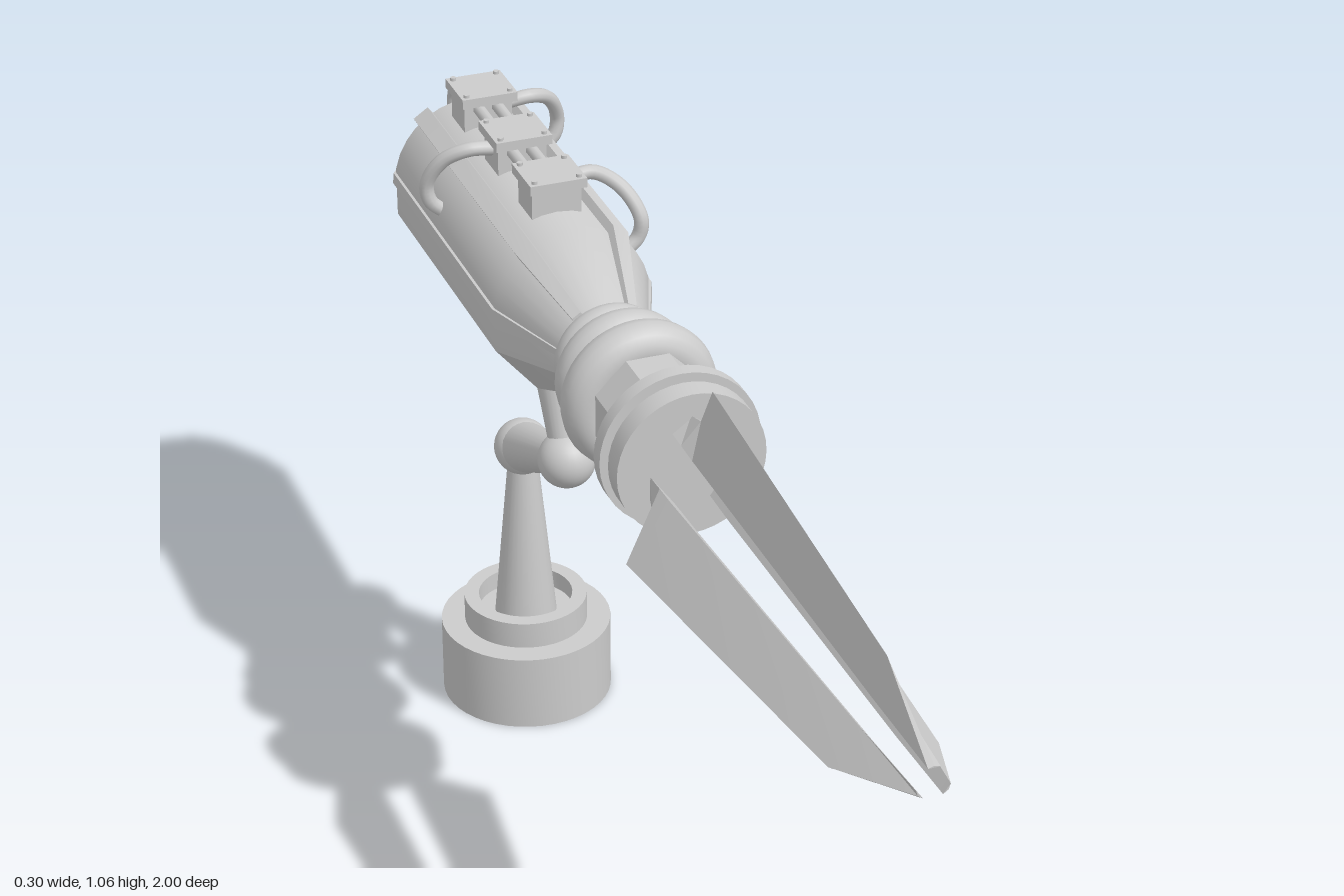
import * as THREE from 'three';
import { toCreasedNormals } from 'three/addons/utils/BufferGeometryUtils.js';

const AXIS = 0.865; // height of the long barrel axis
const ARM_Z = -0.662;
const V = (x, y, z) => new THREE.Vector3(x, y, z);

// Skins counter-clockwise rings of [x, y], each placed at its z (rising), and caps both ends.
function loft(sections, crease = 0.5) {
  const pos = [], index = [], n = sections[0].ring.length, last = sections.length - 1;
  for (const { z, ring } of sections) for (const [x, y] of ring) pos.push(x, y, z);
  for (let i = 0; i < last; i++) for (let j = 0; j < n; j++) {
    const a = i * n + j, b = i * n + (j + 1) % n, c = b + n, d = a + n;
    index.push(a, b, c, a, c, d);
  }
  for (let j = 1; j < n - 1; j++) {
    index.push(0, j + 1, j);
    index.push(last * n, last * n + j, last * n + j + 1);
  }
  const g = new THREE.BufferGeometry();
  g.setAttribute('position', new THREE.Float32BufferAttribute(pos, 3));
  g.setIndex(index);
  return toCreasedNormals(g, crease);
}

// Turns [radial, tangential] pairs to an angle around the barrel axis.
const polar = (angle, pts) => pts.map(([r, t]) => [
  r * Math.cos(angle) - t * Math.sin(angle), r * Math.sin(angle) + t * Math.cos(angle)]);

export function createModel() {
  const model = new THREE.Group();
  const mat = new THREE.MeshStandardMaterial({ color: 0xcccccc, side: THREE.DoubleSide });
  const barrel = new THREE.Group();
  barrel.name = 'barrel';
  barrel.position.y = AXIS;
  model.add(barrel);

  function add(name, geo, parent = model, x = 0, y = 0, z = 0) {
    const m = new THREE.Mesh(geo, mat);
    m.name = name;
    m.position.set(x, y, z);
    parent.add(m);
    return m;
  }
  const disc = (name, r, z0, z1, sides = 40) => {
    const g = new THREE.CylinderGeometry(r, r, z1 - z0, sides);
    if (sides < 12) g.rotateY(Math.PI / sides);
    return add(name, toCreasedNormals(g.rotateX(Math.PI / 2), 0.5), barrel, 0, 0, (z0 + z1) / 2);
  };
  const tube = (name, pts, r, parent = barrel) =>
    add(name, new THREE.TubeGeometry(new THREE.CatmullRomCurve3(pts), 28, r, 10), parent);
  // Tapered rod between two points
  const rod = (name, a, b, ra, rb) => {
    const m = add(name, new THREE.CylinderGeometry(rb, ra, a.distanceTo(b), 28));
    m.position.copy(a).lerp(b, 0.5);
    m.quaternion.setFromUnitVectors(V(0, 1, 0), b.clone().sub(a).normalize());
  };

  // Hull: faceted belly, rounded back, tapered at both ends
  const hullRing = [[-0.128, -0.055], [-0.06, -0.135], [0.06, -0.135], [0.128, -0.055]];
  for (let i = 0; i <= 14; i++) {
    const a = THREE.MathUtils.degToRad(12 + i * 156 / 14);
    hullRing.push([0.131 * Math.cos(a), 0.135 * Math.sin(a)]);
  }
  const stations = [[-1, 0.57], [-0.91, 1], [-0.4, 1], [-0.25, 0.56]];
  const along = (ring) => loft(stations.map(([z, s]) => ({ z, ring: ring.map(([x, y]) => [x * s, y * s]) })));
  add('hull', along(hullRing), barrel);

  // Long raised ribs that follow the hull
  for (const deg of [56, 124])
    add('upperRib', along(polar(THREE.MathUtils.degToRad(deg),
      [[0.115, -0.017], [0.147, -0.015], [0.147, 0.015], [0.115, 0.017]])), barrel);
  for (const deg of [5, 175])
    add('sideRib', along(polar(THREE.MathUtils.degToRad(deg),
      [[0.115, -0.011], [0.134, -0.009], [0.134, 0.009], [0.115, 0.011]])), barrel);

  // Neck: beaded rings, faceted collar and front flanges
  disc('neckCore', 0.074, -0.3, 0.06);
  for (const [z, r, t] of [[-0.098, 0.0875, 0.0375], [-0.166, 0.077, 0.033], [-0.224, 0.065, 0.026]])
    add('neckRing', new THREE.TorusGeometry(r, t, 16, 44), barrel, 0, 0, z);
  disc('collar', 0.091, -0.09, 0.06, 8);
  disc('rearFlange', 0.128, 0.053, 0.078);
  disc('flangeGroove', 0.105, 0.075, 0.09);
  disc('frontFlange', 0.118, 0.087, 0.125);

  // Three blades: [z, inner radius, half width, ridge radius]
  const bladeProfile = [[0.12, 0.058, 0.031, 0.08], [0.16, 0.057, 0.031, 0.092],
    [0.205, 0.056, 0.031, 0.165], [0.84, 0.032, 0.016, 0.1], [1, 0.024, 0.009, 0.027]];
  for (const deg of [90, 216, 324])
    add('blade', loft(bladeProfile.map(([z, rin, w, rout]) => ({
      z, ring: polar(THREE.MathUtils.degToRad(deg), [[rin, -w], [rout, 0], [rin, w]]),
    })), 0.2), barrel);

  // Junction boxes with bolted lids, each feeding one side hose
  for (const [z, side, z0, z1] of [[-0.5, 1, -0.52, -0.465], [-0.665, -1, -0.665, -0.7], [-0.835, 1, -0.82, -0.865]]) {
    const box = new THREE.Group();
    box.name = 'junctionBox';
    box.position.set(0, 0, z);
    barrel.add(box);
    add('boxBody', new THREE.BoxGeometry(0.082, 0.075, 0.066), box, 0, 0.145, 0);
    add('boxLid', new THREE.BoxGeometry(0.094, 0.016, 0.09), box, 0, 0.183, 0);
    for (const x of [-1, 1]) for (const dz of [-1, 1])
      add('lidBolt', new THREE.CylinderGeometry(0.005, 0.005, 0.006, 8), box, x * 0.037, 0.193, dz * 0.035);
    tube('sideHose', [V(side * 0.035, 0.162, z0), V(side * 0.08, 0.166, z0), V(side * 0.118, 0.145, (z0 + z1) / 2),
      V(side * 0.14, 0.1, z1), V(side * 0.135, 0.068, z1), V(side * 0.11, 0.045, z1)], 0.012);
  }

  // Twin pipes linking the boxes and diving into the rear
  for (const x of [-0.016, 0.016])
    tube('topPipe', [V(x, 0.165, -0.5), V(x, 0.165, -0.7), V(x, 0.165, -0.87), V(x, 0.158, -0.915),
      V(x, 0.135, -0.938), V(x, 0.09, -0.942)], 0.01);

  // Stepped pedestal with a recessed top
  const pedestal = [[0, 0], [0.145, 0], [0.145, 0.135], [0.105, 0.135], [0.105, 0.182], [0.08, 0.182],
    [0.08, 0.15], [0, 0.15]].map(([x, y]) => new THREE.Vector2(x, y));
  add('pedestal', toCreasedNormals(new THREE.LatheGeometry(pedestal, 44), 0.5), model, 0, 0, ARM_Z);

  // Jointed arm
  const lower = V(0, 0.47, ARM_Z), upper = V(0, 0.568, -0.437);
  rod('lowerArm', V(0, 0.145, ARM_Z), lower, 0.053, 0.023);
  rod('middleArm', lower, upper, 0.044, 0.025);
  rod('upperArm', upper, V(0, 0.78, -0.512), 0.024, 0.04);
  for (const p of [lower, upper])
    add('armJoint', new THREE.SphereGeometry(0.048, 28, 18), model, p.x, p.y, p.z);

  return model;
}
